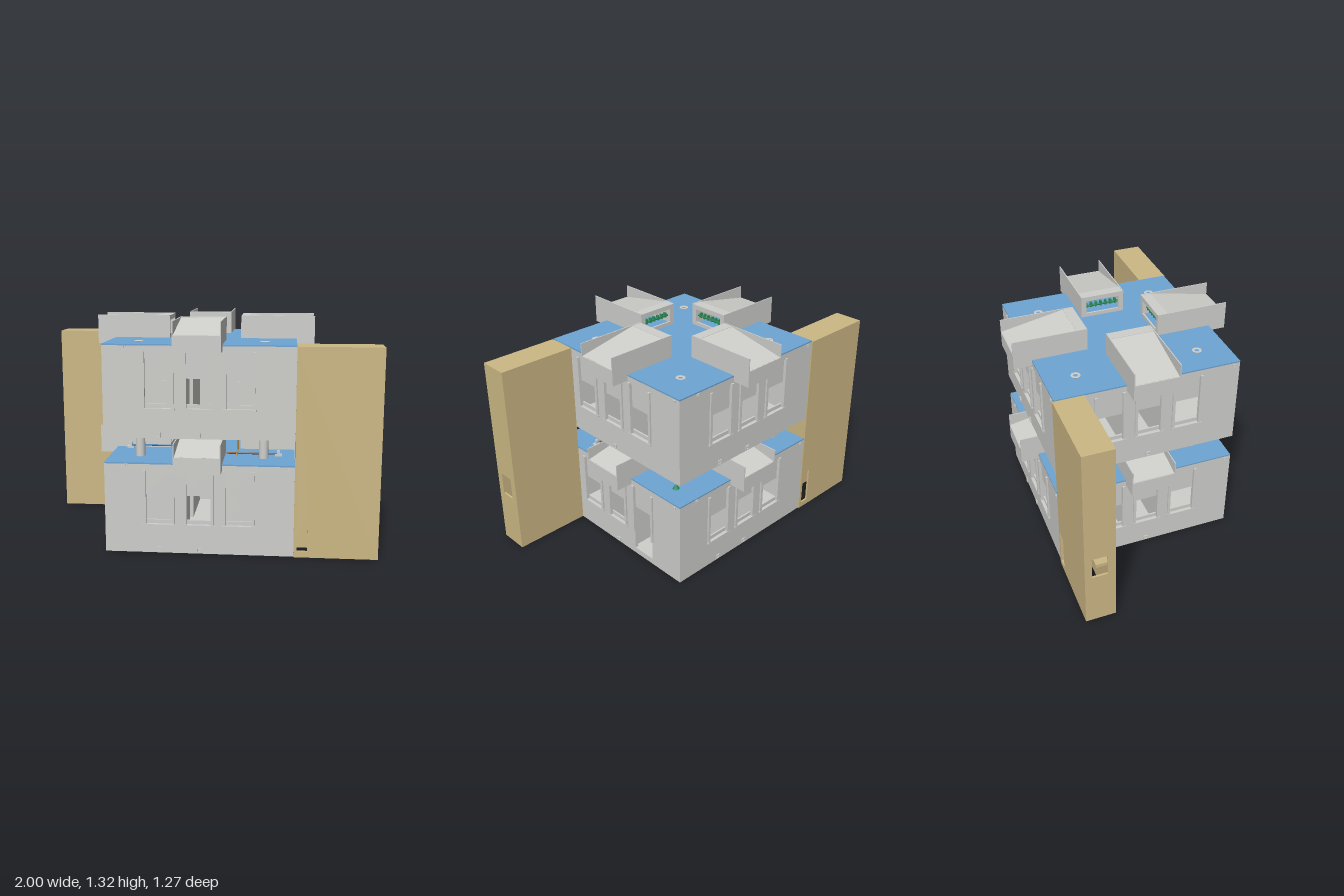
import * as THREE from 'three';

const paint = (name, color, side = THREE.FrontSide) => {
  const m = new THREE.MeshStandardMaterial({ color, side });
  m.name = name;
  return m;
};
const HALF = 0.533, FACE = 0.02, HEIGHT = 0.515;

export function createModel() {
  const wall = paint('pale grey', 0xcfcfcc);
  const tan = paint('tan', 0xcdb885);
  const blue = paint('roof blue', 0x6ea5d3);
  const pipeBlue = paint('pipe blue', 0x3c82be);
  const green = paint('pipe green', 0x2f8f5b);
  const orange = paint('pipe orange', 0xc8963c);
  const brown = paint('pipe brown', 0x8a6038);

  const model = new THREE.Group();
  model.name = 'building';

  const add = (parent, name, geo, mat) => {
    const m = new THREE.Mesh(geo, mat);
    m.name = name;
    parent.add(m);
    return m;
  };
  // box from its minimum and maximum corners
  const box = (parent, name, mat, x0, x1, y0, y1, z0, z1) => {
    const m = add(parent, name, new THREE.BoxGeometry(x1 - x0, y1 - y0, z1 - z0), mat);
    m.position.set((x0 + x1) / 2, (y0 + y1) / 2, (z0 + z1) / 2);
    return m;
  };
  const rect = (T, x0, x1, y0, y1) => new T([[x0, y0], [x1, y0], [x1, y1], [x0, y1]].map(p => new THREE.Vector2(...p)));
  // flat plate with rectangular holes, back at z = 0
  const plate = (outer, holes, depth) => {
    const s = rect(THREE.Shape, ...outer);
    holes.forEach(h => s.holes.push(rect(THREE.Path, ...h)));
    return new THREE.ExtrudeGeometry(s, { depth, bevelEnabled: false });
  };
  const pipe = (parent, name, mat, pts, r = 0.005) => {
    const path = new THREE.CurvePath();
    const v = pts.map(p => new THREE.Vector3(...p));
    for (let i = 1; i < v.length; i++) path.add(new THREE.LineCurve3(v[i - 1], v[i]));
    return add(parent, name, new THREE.TubeGeometry(path, (v.length - 1) * 8, r, 8), mat);
  };

  // one window: raised jambs, sill, blank upper sash and open lower sash
  function addWindow(g, cx, isDoor) {
    const w = cx === 0 ? 0.083 : 0.088;
    for (const s of [-1, 1]) {
      const x = cx + s * (w - 0.008);
      box(g, 'windowJamb', wall, x - 0.008, x + 0.008, 0.165, 0.482, HALF - 0.01, HALF + 0.01);
    }
    box(g, 'upperSash', wall, cx - w + 0.01, cx + w - 0.01, 0.335, 0.482, HALF - 0.018, HALF - 0.008);
    if (isDoor) return;
    box(g, 'windowSill', wall, cx - w - 0.004, cx + w + 0.004, 0.16, 0.17, HALF - 0.015, HALF + 0.012);
    box(g, 'lowerRail', wall, cx - w + 0.01, cx + w - 0.01, 0.17, 0.193, HALF - 0.018, HALF - 0.008);
  }

  function addFacade(storey, k, lower) {
    const g = new THREE.Group();
    g.name = 'facade';
    g.rotation.y = k * Math.PI / 2;
    const doorX = lower && k === 1 ? 0.225 : null;
    const half = k % 2 ? HALF - FACE : HALF;
    const holes = [-0.225, 0, 0.225].map(cx => {
      const w = cx === 0 ? 0.07 : 0.076;
      return [cx - w, cx + w, cx === doorX ? 0.037 : 0.17, 0.478];
    });
    add(g, 'outerWall', plate([-half, half, 0, HEIGHT], holes, FACE), wall).position.z = HALF - FACE;
    [-0.225, 0, 0.225].forEach(cx => addWindow(g, cx, cx === doorX));
    // small drains near the foot and the roof edge
    const drains = [[0, 0.021], [0.495, 0.502]];
    if (k % 2 === 0) drains.push([-0.225, 0.021], [-0.405, 0.508]);
    drains.forEach(([x, y]) => {
      const r = y > 0.4 ? 0.007 : 0.013;
      add(g, 'drain', plate([x - r, x + r, y - r, y + r], [[x - r * 0.6, x + r * 0.6, y - r * 0.6, y + r * 0.6]], 0.006), wall).position.z = HALF;
    });
    // inner partitions either side of the crossing corridors
    for (const s of [-1, 1]) {
      const a = s * 0.1, b = s * 0.51;
      box(g, 'partition', wall, Math.min(a, b), Math.max(a, b), 0.012, HEIGHT - 0.002, 0.1, 0.108);
      box(g, 'innerDoor', wall, s * 0.227 - 0.037, s * 0.227 + 0.037, 0.17, 0.262, 0.108, 0.113);
    }
    storey.add(g);
  }

  // roof scoop: high cheeks, sloping hood, low outer wall, opening facing the centre
  function addScoop(storey, k) {
    const g = new THREE.Group();
    g.name = 'roofScoop';
    g.rotation.y = k * Math.PI / 2;
    const y0 = 0.488, y1 = 0.654, yLow = 0.58, z0 = 0.21, z1 = 0.637, w = 0.131, t = 0.006;
    for (const s of [-1, 1]) box(g, 'scoopCheek', wall, s > 0 ? w - t : -w, s > 0 ? w : -w + t, y0, y1, z0, z1);
    box(g, 'scoopOuterWall', wall, -w, w, y0, yLow, z1 - t, z1);
    box(g, 'scoopFloor', wall, -w, w, y0, y0 + t, HALF - 0.01, z1);
    box(g, 'scoopTop', wall, -w, w, y1 - 0.008, y1 - 0.002, z0, 0.272);
    add(g, 'scoopMouth', plate([-w, w, 0.52, y1 - 0.002], [[-0.1, 0.1, 0.545, 0.625]], 0.01), wall).position.z = z0;
    const dz = z1 - t - 0.27, dy = yLow - (y1 - 0.004);
    const hood = add(g, 'scoopHood', new THREE.BoxGeometry(2 * w - 2 * t, 0.005, Math.hypot(dz, dy)), wall);
    hood.position.set(0, (yLow + y1 - 0.004) / 2 - 0.002, 0.27 + dz / 2);
    hood.rotation.x = Math.atan2(-dy, dz);
    // pipework just inside the mouth
    pipe(g, 'scoopPipe', green, [[-0.11, 0.575, 0.245], [0.11, 0.575, 0.245]], 0.007);
    for (let i = -3; i <= 3; i++) box(g, 'scoopValve', green, i * 0.03 - 0.006, i * 0.03 + 0.006, 0.565, 0.595, 0.238, 0.255);
    storey.add(g);
  }

  // two equal storeys
  [0, 0.663].forEach((base, level) => {
    const storey = new THREE.Group();
    storey.name = level ? 'upperStorey' : 'lowerStorey';
    storey.position.y = base;
    const inner = HALF - FACE;
    box(storey, 'floor', wall, -inner, inner, 0, 0.012, -inner, inner);
    box(storey, 'roofDeck', blue, -HALF, HALF, HEIGHT, HEIGHT + 0.008, -HALF, HALF);
    for (let k = 0; k < 4; k++) {
      addFacade(storey, k, level === 0);
      addScoop(storey, k);
    }
    model.add(storey);
  });

  // columns between the storeys, and the matching collars on the top roof
  const collar = [[0.013, 0], [0.027, 0], [0.027, 0.004], [0.013, 0.004], [0.013, 0]].map(p => new THREE.Vector2(...p));
  for (const x of [-0.355, 0.355]) for (const z of [-0.355, 0.355]) {
    add(model, 'column', new THREE.CylinderGeometry(0.027, 0.027, 0.145, 24), wall).position.set(x, 0.593, z);
    add(model, 'columnCollar', new THREE.LatheGeometry(collar, 24), wall).position.set(x, 1.185, z);
    add(model, 'columnFoot', new THREE.CylinderGeometry(0.013, 0.013, 0.004, 16), wall).position.set(x, 0.001, z);
  }

  // pipework on the lower roof
  pipe(model, 'bluePipe', pipeBlue, [[-0.45, 0.54, 0.155], [-0.15, 0.54, 0.155], [-0.15, 0.56, 0.155]]);
  pipe(model, 'blueRiser', pipeBlue, [[-0.32, 0.54, -0.15], [-0.15, 0.54, -0.15], [-0.15, 0.63, -0.15], [-0.22, 0.63, -0.15]]);
  pipe(model, 'greenPipe', green, [[0.16, 0.533, -0.1], [0.16, 0.533, -0.38], [0.42, 0.533, -0.38]]);
  pipe(model, 'orangePipe', orange, [[0.2, 0.59, 0.2], [0.2, 0.533, 0.2], [0.2, 0.533, 0.36]]);
  pipe(model, 'orangeRiser', orange, [[-0.2, 0.525, -0.2], [-0.2, 0.59, -0.2]]);
  pipe(model, 'brownPipe', brown, [[0.14, 0.535, 0.3], [0.44, 0.535, 0.3]]);
  const horn = add(model, 'greenHorn', new THREE.ConeGeometry(0.02, 0.035, 12), green);
  horn.position.set(0.42, 0.543, -0.385);
  for (const [x, z] of [[-0.45, 0.155], [0.44, 0.3], [-0.42, -0.38]]) {
    box(model, 'pipeBase', wall, x - 0.02, x + 0.02, 0.523, 0.535, z - 0.015, z + 0.015);
    box(model, 'pipeHead', wall, x - 0.008, x + 0.008, 0.535, 0.558, z - 0.008, z + 0.008);
  }

  // hollow stair towers, open below, on opposite corners
  for (const turn of [0, Math.PI]) {
    const g = new THREE.Group();
    g.name = 'stairTower';
    g.rotation.y = turn;
    const x0 = HALF, x1 = 1, z0 = 0.366, z1 = 0.541, top = 1.18, t = 0.012;
    add(g, 'towerFront', plate([x0, x1, 0, top], [[0.55, 0.608, 0.036, 0.26]], t), tan).position.z = z1 - t;
    box(g, 'towerBack', tan, x0, x1, 0, top, z0, z0 + t);
    box(g, 'towerInnerSide', tan, x0, x0 + t, 0, top, z0 + t, z1 - t);
    box(g, 'towerTop', tan, x0 + t, x1 - t, top - t, top, z0 + t, z1 - t);
    const end = add(g, 'towerEnd', plate([-z1 + t, -z0 - t, 0, top], [[-0.5, -0.41, 0.335, 0.472]], t), tan);
    end.rotation.y = Math.PI / 2;
    end.position.x = x1 - t;
    // stair flight seen through the end window
    for (let i = 0; i < 6; i++) {
      const y = 0.345 + i * 0.022, x = 0.93 - i * 0.05;
      box(g, 'stairStep', tan, x - 0.05, x, y - 0.022, y, z0 + t, 0.455);
    }
    model.add(g);
  }
  return model;
}
